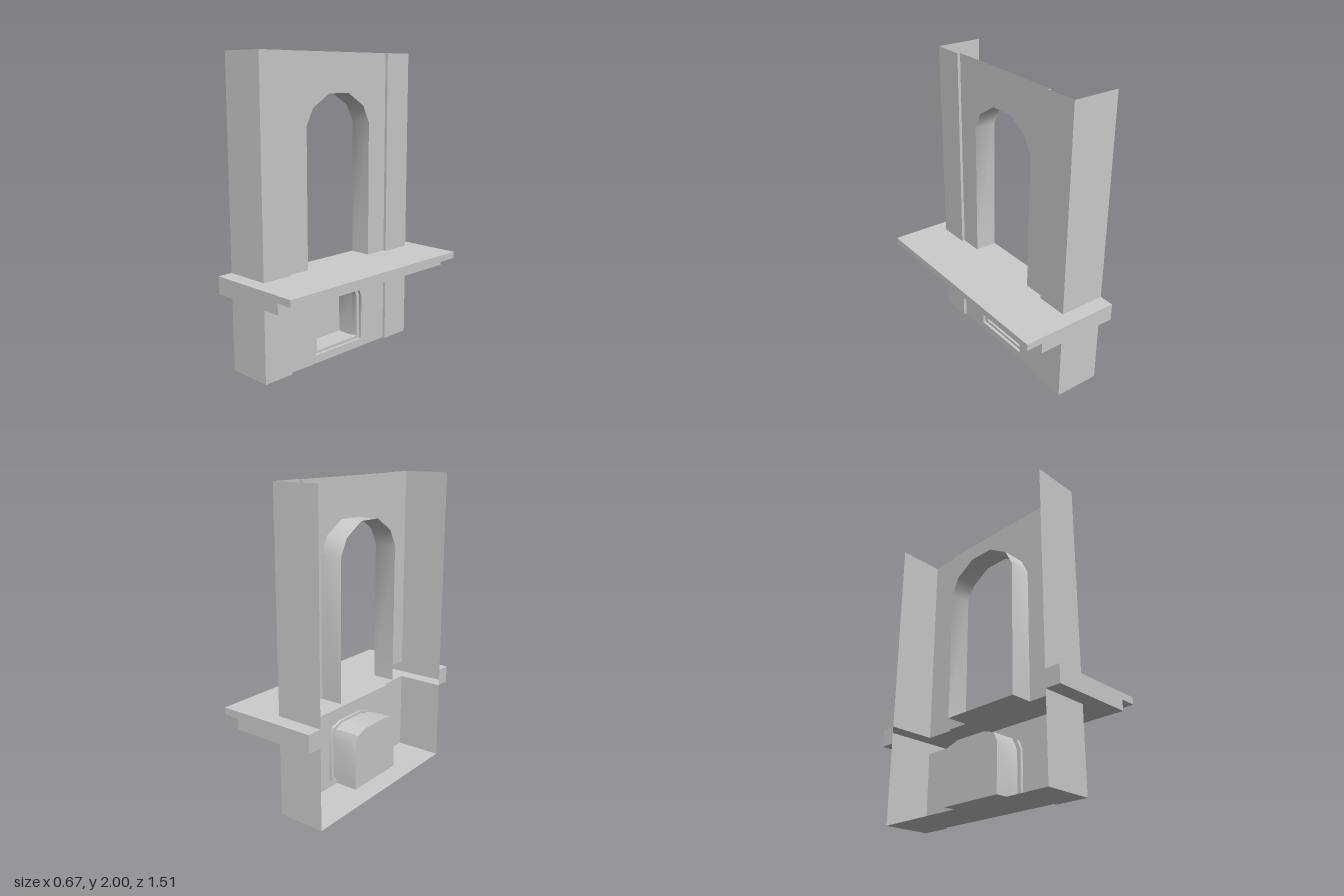
import * as THREE from 'three';
import { toCreasedNormals } from 'three/addons/utils/BufferGeometryUtils.js';

const material = new THREE.MeshStandardMaterial({ color: 0xcccccc, side: THREE.DoubleSide });

const BACK = -0.335, PIER = -0.02, WALL = -0.04;
const SIDE = 0.655, PIER_IN = 0.44, LEDGE = 0.755;
const LEDGE_BOTTOM = 0.53, LEDGE_STEP = 0.6, LEDGE_TOP = 0.645, TOP = 2;

// Half outline on the +z side, completed by its mirror image
const mirrored = half => [...half, ...half.map(([a, b]) => [-a, b]).reverse()];
const shape = pts => new THREE.Shape(pts.map(p => new THREE.Vector2(...p)));

// Strip of quads between two matching rows of 3D points
function ribbon(rowA, rowB, crease = 0.1) {
  const pos = [];
  for (let i = 0; i < rowA.length - 1; i++) {
    const [a, b, c, d] = [rowA[i], rowA[i + 1], rowB[i + 1], rowB[i]];
    pos.push(...a, ...b, ...c, ...a, ...c, ...d);
  }
  const geo = new THREE.BufferGeometry();
  geo.setAttribute('position', new THREE.Float32BufferAttribute(pos, 3));
  geo.computeVertexNormals();
  return toCreasedNormals(geo, crease);
}

// Upright strip following a plan line of [x, z] points
const upright = (plan, y0, y1) =>
  ribbon(plan.map(([x, z]) => [x, y0, z]), plan.map(([x, z]) => [x, y1, z]));

// Flat horizontal sheet from a plan outline of [x, z] points
const sheet = (plan, y) =>
  new THREE.ShapeGeometry(shape(plan)).rotateX(Math.PI / 2).translate(0, y, 0);

// Flat sheet facing +x from an outline of [z, y] points, with an optional hole
function panel(outline, x, hole) {
  const s = shape(outline);
  if (hole) s.holes.push(shape(hole));
  return new THREE.ShapeGeometry(s).rotateY(Math.PI / 2).translate(x, 0, 0);
}

export function createModel() {
  const model = new THREE.Group();
  const add = (name, geometry, parent = model) => {
    const mesh = new THREE.Mesh(geometry, material);
    mesh.name = name;
    parent.add(mesh);
  };

  // Side walls and the raised piers on the front, below and above the ledge
  for (const s of [1, -1]) {
    const plan = [[BACK, s * SIDE], [PIER, s * SIDE], [PIER, s * PIER_IN], [WALL, s * PIER_IN]];
    const side = s > 0 ? 'left' : 'right';
    add(side + 'LowerPier', upright(plan, 0, LEDGE_BOTTOM));
    add(side + 'UpperPier', upright(plan, LEDGE_TOP, TOP));
  }

  // Upper wall around the arched window, with the reveal behind it
  const arch = mirrored([[0.28, LEDGE_TOP], [0.28, 1.55], [0.225, 1.66], [0.085, 1.745]]);
  add('upperWall', panel([[PIER_IN, LEDGE_TOP], [PIER_IN, TOP], [-PIER_IN, TOP],
    [-PIER_IN, LEDGE_TOP], ...[...arch].reverse()], WALL));
  const archAt = x => arch.map(([z, y]) => [x, y, z]);
  add('windowReveal', ribbon(archAt(WALL), archAt(-0.19), 0.6));
  add('windowSill', sheet([[WALL, 0.28], [WALL, -0.28], [-0.19, -0.28], [-0.19, 0.28]], LEDGE_TOP));

  // Lower wall with the niche opening, and the floor
  const niche = mirrored([[0.215, 0.055], [0.215, 0.36], [0.19, 0.42], [0.11, 0.445]]);
  const lip = mirrored([[0.19, 0.075], [0.19, 0.355], [0.17, 0.405], [0.105, 0.43]]);
  add('lowerWall', panel(mirrored([[PIER_IN, 0], [PIER_IN, LEDGE_BOTTOM]]), WALL, niche));
  add('floor', sheet([[BACK, SIDE], [PIER, SIDE], [PIER, PIER_IN], [WALL, PIER_IN],
    [WALL, -PIER_IN], [PIER, -PIER_IN], [PIER, -SIDE], [BACK, -SIDE]], 0));

  // Niche: short rim, narrower lip, then the box behind
  const nicheGroup = new THREE.Group();
  nicheGroup.name = 'niche';
  model.add(nicheGroup);
  const rings = [[niche, WALL], [niche, -0.06], [lip, -0.06], [lip, -0.1], [niche, -0.1], [niche, -0.255]]
    .map(([pts, x]) => [...pts, pts[0]].map(([z, y]) => [x, y, z]));
  const names = ['nicheRim', 'nicheLipFront', 'nicheLip', 'nicheLipBack', 'nicheBox'];
  names.forEach((name, i) => add(name, ribbon(rings[i], rings[i + 1], 0.6), nicheGroup));
  add('nicheBack', panel(niche, -0.255), nicheGroup);

  // Hollow ledge wrapping the front and both sides, with a stepped front edge
  const ledge = new THREE.Group();
  ledge.name = 'ledge';
  model.add(ledge);
  const FRONT = 0.335, STEP = 0.225;
  const wrap = front => [[BACK, LEDGE], [front, LEDGE], [front, -LEDGE], [BACK, -LEDGE],
    [BACK, -SIDE], [PIER, -SIDE], [PIER, -PIER_IN], [WALL, -PIER_IN],
    [WALL, PIER_IN], [PIER, PIER_IN], [PIER, SIDE], [BACK, SIDE]];
  add('ledgeTop', sheet(wrap(FRONT), LEDGE_TOP), ledge);
  add('ledgeBottom', sheet(wrap(STEP), LEDGE_BOTTOM), ledge);
  add('ledgeStep', sheet([[STEP, LEDGE], [FRONT, LEDGE], [FRONT, -LEDGE], [STEP, -LEDGE]], LEDGE_STEP), ledge);
  add('ledgeUpperEdge', upright([[STEP, LEDGE], [FRONT, LEDGE], [FRONT, -LEDGE], [STEP, -LEDGE]],
    LEDGE_STEP, LEDGE_TOP), ledge);
  add('ledgeLowerEdge', upright([[STEP, LEDGE], [STEP, -LEDGE]], LEDGE_BOTTOM, LEDGE_STEP), ledge);
  for (const s of [1, -1]) {
    add('ledgeSide', upright([[BACK, s * LEDGE], [STEP, s * LEDGE]], LEDGE_BOTTOM, LEDGE_TOP), ledge);
    add('ledgeEnd', upright([[BACK, s * SIDE], [BACK, s * LEDGE]], LEDGE_BOTTOM, LEDGE_TOP), ledge);
  }

  return model;
}
